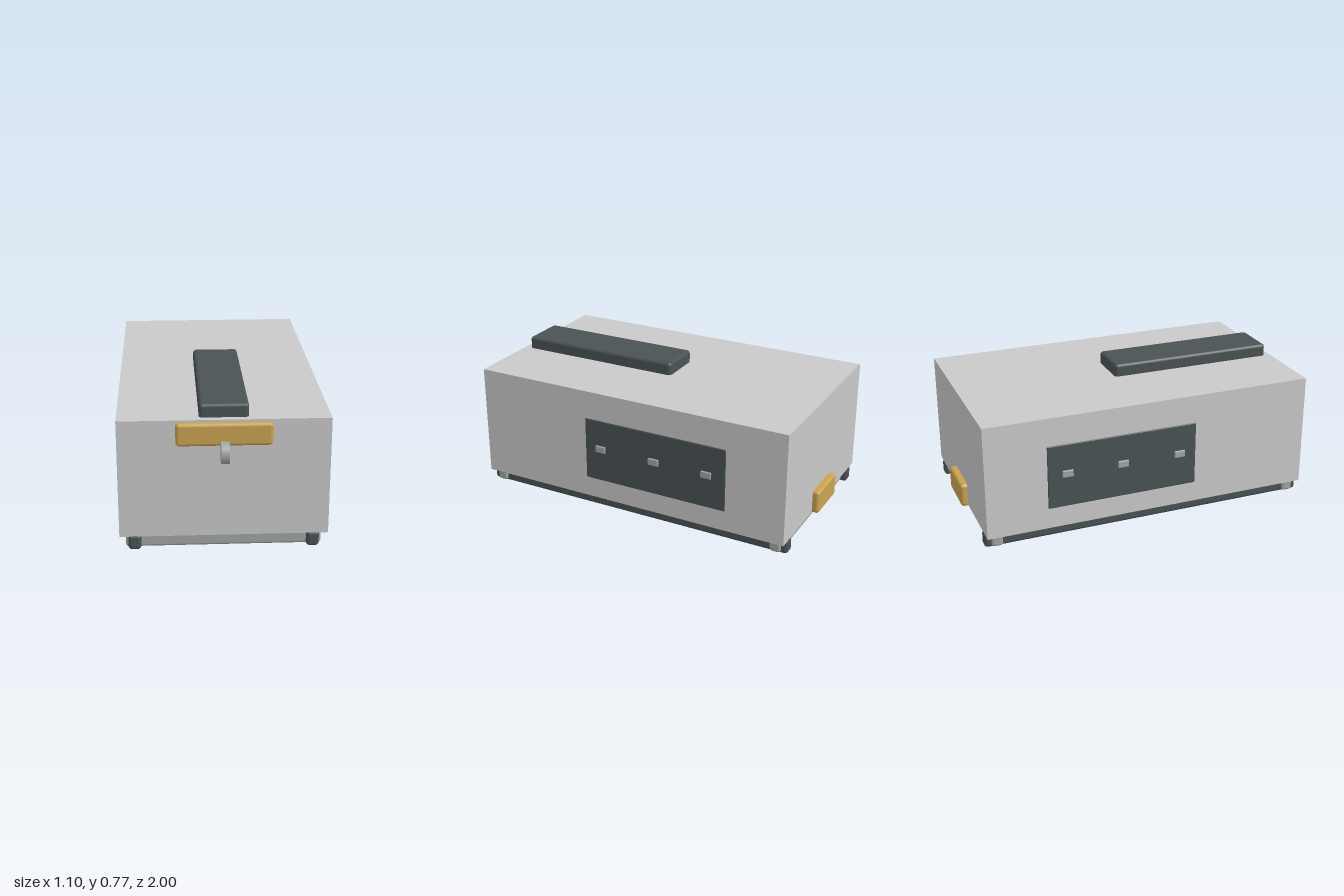
import * as THREE from 'three';
import { RoundedBoxGeometry } from 'three/addons/geometries/RoundedBoxGeometry.js';

const material = (name, color) => {
  const m = new THREE.MeshStandardMaterial({ color });
  m.name = name;
  return m;
};

export function createModel() {
  const model = new THREE.Group();
  model.name = 'case';
  const shell = material('shell grey', 0xc9c9c9);
  const dark = material('dark slate', 0x4a5254);
  const steel = material('steel grey', 0xa0a6a4);
  const brass = material('brass', 0xc9a352);

  const add = (name, geometry, mat) => {
    const mesh = new THREE.Mesh(geometry, mat);
    mesh.name = name;
    model.add(mesh);
    return mesh;
  };
  // Box given by its lower and upper limits on each axis, rounded when r > 0
  const block = (name, [x0, x1], [y0, y1], [z0, z1], mat, r = 0) => {
    const size = [x1 - x0, y1 - y0, z1 - z0];
    const geometry = r ? new RoundedBoxGeometry(...size, 3, r) : new THREE.BoxGeometry(...size);
    const mesh = add(name, geometry, mat);
    mesh.position.set((x0 + x1) / 2, (y0 + y1) / 2, (z0 + z1) / 2);
    return mesh;
  };

  // Main housing and the long pad on its lid
  block('body', [-0.535, 0.535], [0.075, 0.704], [-0.962, 0.88], shell);
  block('topPad', [-0.125, 0.125], [0.66, 0.773], [-0.09, 0.845], dark, 0.018);

  // Front and back plates
  block('frontPlate', [-0.243, 0.243], [0.572, 0.692], [0.845, 0.907], brass, 0.018);
  block('backPlate', [-0.133, 0.133], [0.07, 0.203], [-1, -0.935], brass, 0.018);

  // Round knob set on edge below the front plate
  const knob = add('frontKnob', new THREE.CylinderGeometry(0.056, 0.056, 0.042, 40), steel);
  knob.rotation.z = Math.PI / 2;
  knob.position.set(0, 0.555, 0.944);

  // Side panels with three studs each
  for (const side of [-1, 1]) {
    const span = (a, b) => (side > 0 ? [a, b] : [-b, -a]);
    block('sidePanel', span(0.5, 0.54), [0.19, 0.547], [-0.628, 0.214], dark, 0.006);
    for (const z of [0.118, -0.208, -0.519]) {
      block('panelStud', span(0.52, 0.55), [0.362, 0.4], [z - 0.03, z + 0.03], steel, 0.004);
    }
    // Base rails along the length
    block('sideRail', span(0.424, 0.49), [0, 0.082], [-0.967, 0.886], dark, 0.018);
  }

  // Base rails across the width
  for (const z of [0.826, -0.901]) {
    block('crossRail', [-0.503, 0.503], [0.004, 0.08], [z - 0.032, z + 0.032], steel, 0.016);
  }

  return model;
}
